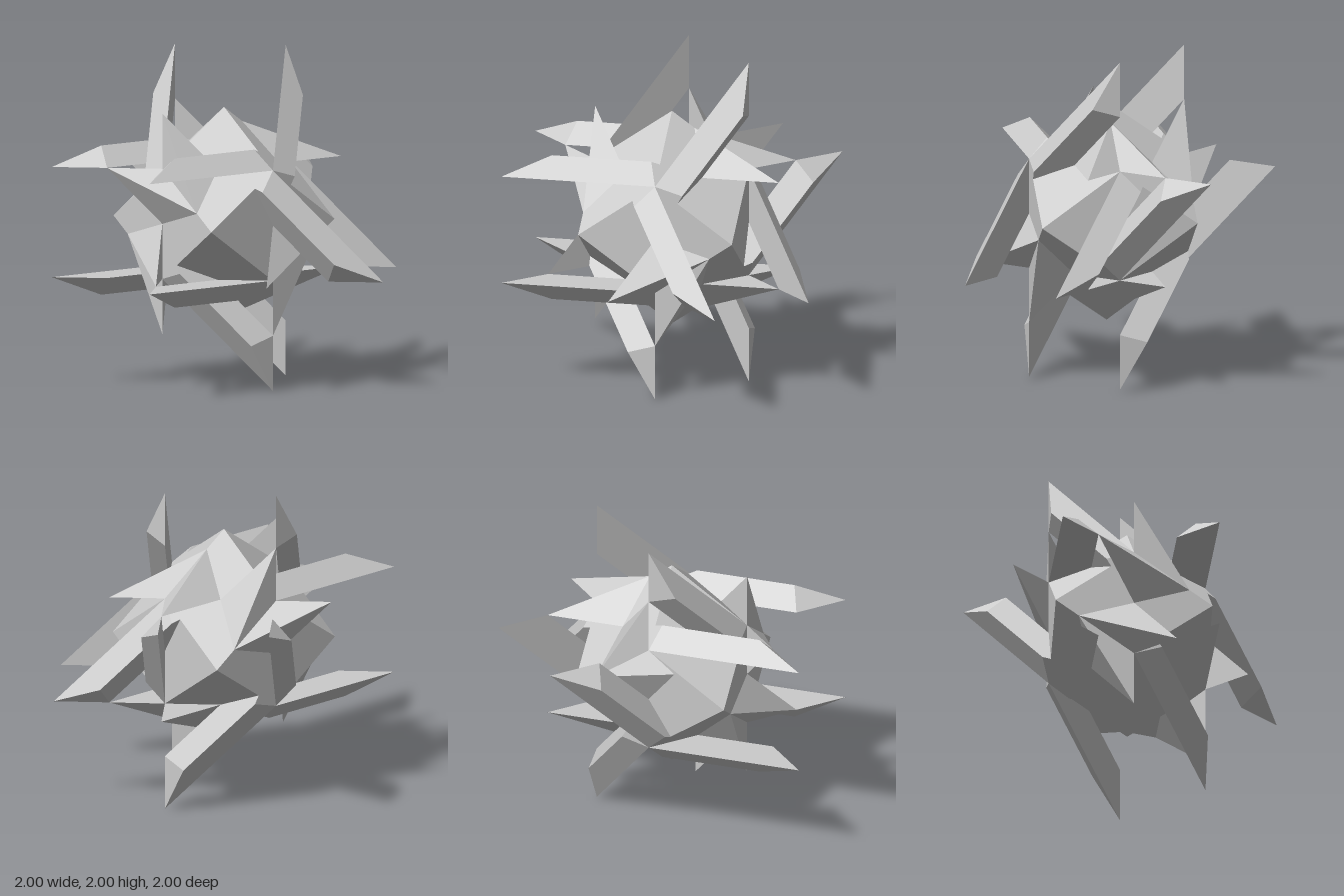
import * as THREE from 'three';
import { ConvexGeometry } from 'three/addons/geometries/ConvexGeometry.js';

const UNIT = 1 / 3;
const H = Math.SQRT1_2;

// the six rotations that repeat every part: three about a body diagonal, each with a half turn
const cycles = [
  ([x, y, z]) => [x, y, z],
  ([x, y, z]) => [z, x, y],
  ([x, y, z]) => [y, z, x],
];
const halfTurn = ([x, y, z]) => [-y, -x, -z];
const rotations = cycles.flatMap((c) => [c, (p) => c(halfTurn(p))]);

export function createModel() {
  const model = new THREE.Group();
  const material = new THREE.MeshStandardMaterial({ color: 0xcccccc, flatShading: true });

  // convex solid from its corners, scaled and lifted to stand on the ground
  const addSolid = (name, corners) => {
    const points = corners.map(([x, y, z]) => new THREE.Vector3(x, y, z).multiplyScalar(UNIT));
    const mesh = new THREE.Mesh(new ConvexGeometry(points), material);
    mesh.name = name;
    mesh.position.y = 1;
    model.add(mesh);
  };
  const addRepeated = (name, corners) =>
    rotations.forEach((turn, i) => addSolid(name + (i + 1), corners.map(turn)));

  // rhombic dodecahedron core
  const core = [];
  for (const s of [-1, 1]) {
    core.push([2 * s, 0, 0], [0, 2 * s, 0], [0, 0, 2 * s]);
    for (const y of [-1, 1]) for (const z of [-1, 1]) core.push([s, y, z]);
  }
  addSolid('core', core);

  // long right-angled blades with slanted ends, in parallel pairs
  const rise = H / 2;
  const blade = [
    [3, -1, 1], [1, 1, 1],
    [2, -1, 1], [0, 1, 1],
    [2.5 - rise, rise - 1, 1 + rise], [0.5 + rise, 1 - rise, 1 + rise],
  ];
  addRepeated('outerBlade', blade);
  addRepeated('pairedBlade', blade.map(([x, y, z]) => [x, y, -z]));

  // short twin spikes that share a corner of the core
  const corner = [-1, 1, 1];
  const ridge = [H - 1, 1 - H, 1 + H];
  addRepeated('upperSpike', [[-1, 2, 1], corner, ridge, [0, 1, 1]]);
  addRepeated('sideSpike', [[-2, 1, 1], corner, ridge, [-1, 0, 1]]);

  return model;
}
